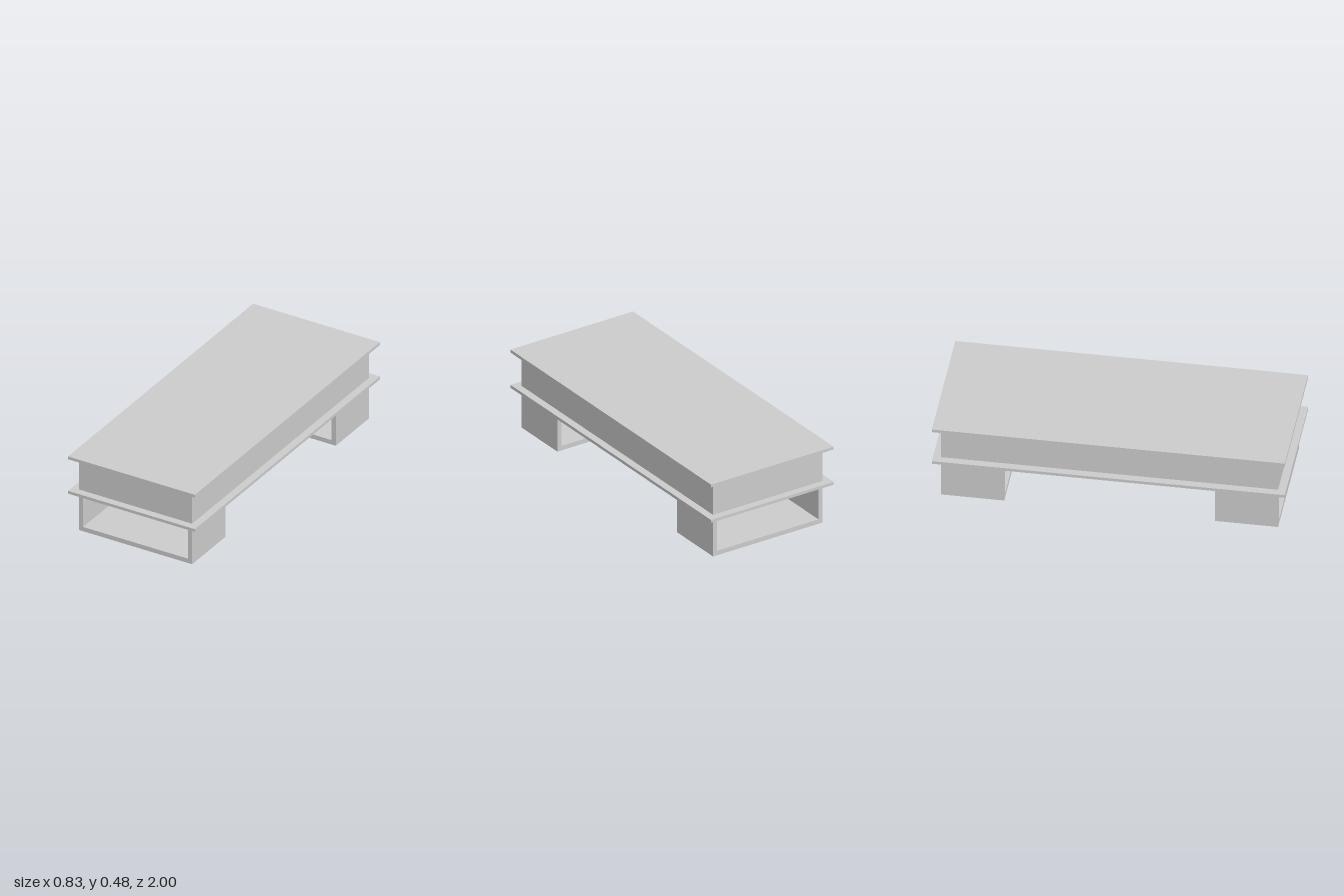
import * as THREE from 'three';

const material = new THREE.MeshStandardMaterial({ color: 0xcccccc, flatShading: true });

// Box resting on height y0, centred on x and z
function slab(name, width, y0, y1, depth) {
  const mesh = new THREE.Mesh(new THREE.BoxGeometry(width, y1 - y0, depth), material);
  mesh.position.y = (y0 + y1) / 2;
  mesh.name = name;
  return mesh;
}

// Counter-clockwise rectangle corners
function rectangle(halfWidth, y0, y1) {
  return [[-halfWidth, y0], [halfWidth, y0], [halfWidth, y1], [-halfWidth, y1]]
    .map(([x, y]) => new THREE.Vector2(x, y));
}

export function createModel() {
  const group = new THREE.Group();
  group.name = 'lowTable';

  // Two overhanging boards with the solid core between them
  group.add(slab('topBoard', 0.83, 0.466, 0.484, 2));
  group.add(slab('core', 0.74, 0.262, 0.466, 1.91));
  group.add(slab('lowerBoard', 0.83, 0.244, 0.262, 2));

  // Hollow rectangular frame legs, open toward front and back
  const profile = new THREE.Shape(rectangle(0.37, 0, 0.244));
  profile.holes.push(new THREE.Path(rectangle(0.343, 0.028, 0.217).reverse()));
  const depth = 0.358;
  const legGeometry = new THREE.ExtrudeGeometry(profile, { depth, bevelEnabled: false });
  legGeometry.translate(0, 0, -depth / 2);
  for (const [name, side] of [['frontLeg', 1], ['backLeg', -1]]) {
    const leg = new THREE.Mesh(legGeometry, material);
    leg.position.z = side * (0.955 - depth / 2);
    leg.name = name;
    group.add(leg);
  }
  return group;
}
